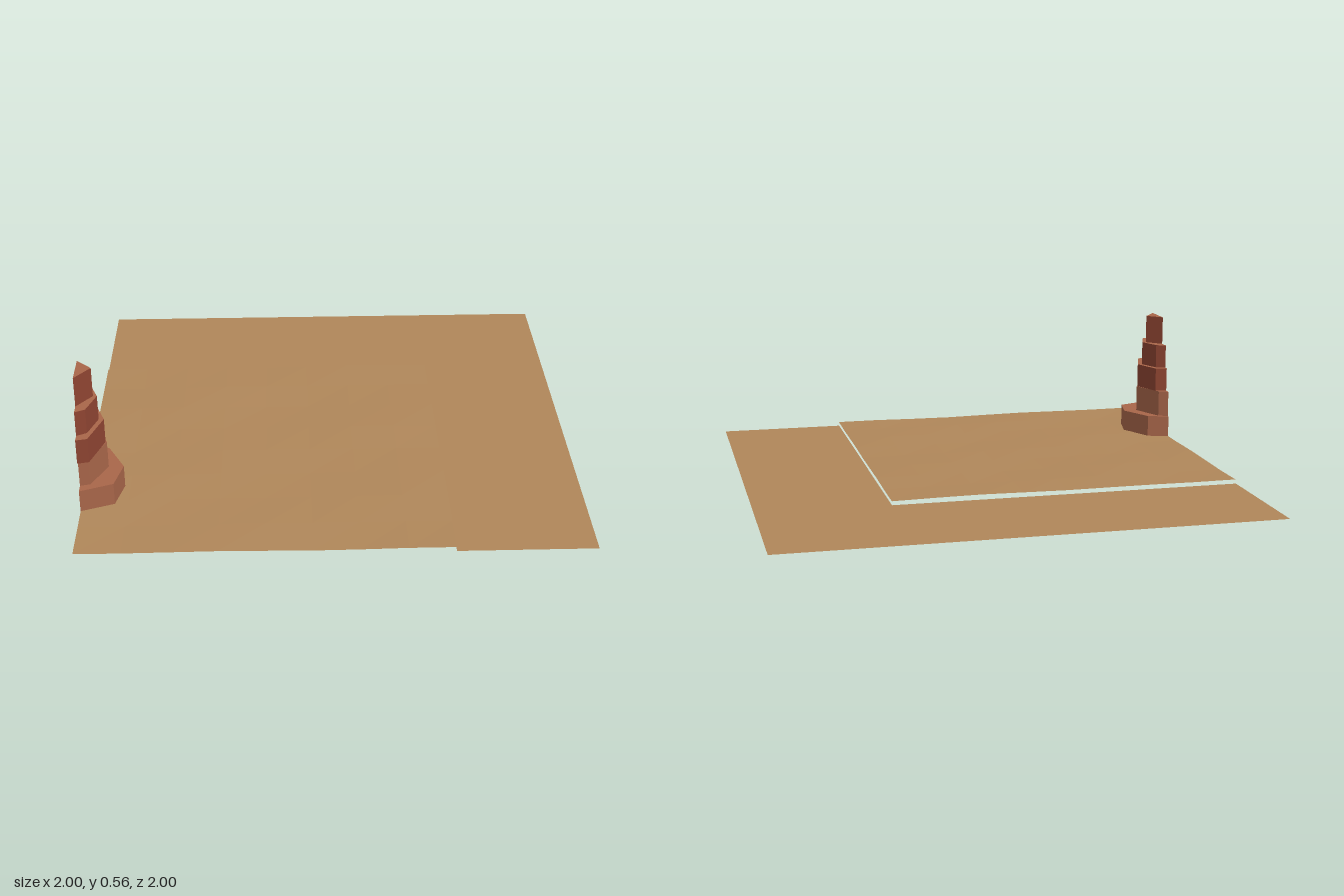
import * as THREE from 'three';

const material = (name, color) => {
  const m = new THREE.MeshStandardMaterial({ color, side: THREE.DoubleSide, flatShading: true });
  m.name = name;
  return m;
};

// Horizontal face from [x, z] points at height y
function flatFace(points, y) {
  const shape = new THREE.Shape(points.map(([x, z]) => new THREE.Vector2(x, -z)));
  return new THREE.ShapeGeometry(shape).rotateX(-Math.PI / 2).translate(0, y, 0);
}

// Upright walls along an open line of [x, z] points, facing outward
function wallStrip(points, y0, y1) {
  const pos = [];
  for (let i = 0; i < points.length - 1; i++) {
    const [ax, az] = points[i], [bx, bz] = points[i + 1];
    pos.push(ax, y0, az, bx, y1, bz, bx, y0, bz);
    pos.push(ax, y0, az, ax, y1, az, bx, y1, bz);
  }
  const g = new THREE.BufferGeometry();
  g.setAttribute('position', new THREE.Float32BufferAttribute(pos, 3));
  g.computeVertexNormals();
  return g;
}

export function createModel() {
  const model = new THREE.Group();
  model.name = 'desertTile';
  const sand = material('sand', 0xb0875a);
  const clay = material('clay rock', 0xa9664a);
  const redRock = material('red rock', 0x8f4532);
  const add = (parent, name, geometry, mat) => {
    const mesh = new THREE.Mesh(geometry, mat);
    mesh.name = name;
    parent.add(mesh);
  };

  // L-shaped flat ground around the raised sand sheet
  const edgeX = 0.455, edgeZ = -0.46;
  add(model, 'outerGround', flatFace(
    [[-1, edgeZ], [edgeX, edgeZ], [edgeX, 1], [1, 1], [1, -1], [-1, -1]], 0), sand);

  // Slightly rippled sheet of sand
  const size = 1.455;
  const dunes = new THREE.PlaneGeometry(size, size, 8, 8).rotateX(-Math.PI / 2);
  dunes.translate(-1 + size / 2, 0, 1 - size / 2);
  const p = dunes.attributes.position;
  for (let i = 0; i < p.count; i++) {
    const x = p.getX(i), z = p.getZ(i);
    p.setY(i, 0.017 + 0.003 * Math.sin(x * 7 + z * 5) * Math.cos(z * 6 - x * 2));
  }
  dunes.computeVertexNormals();
  add(model, 'sandSheet', dunes, sand);

  // Stepped rock spire, sliced open along the tile border
  const spire = new THREE.Group();
  spire.name = 'rockSpire';
  const tiers = [
    [0, 0.11, clay, [[-1, 0.36], [-0.91, 0.39], [-0.84, 0.53], [-0.87, 0.66], [-1, 0.71]]],
    [0.11, 0.225, clay, [[-1, 0.37], [-0.96, 0.39], [-0.9, 0.53], [-0.96, 0.66], [-1, 0.67]]],
    [0.225, 0.33, redRock, [[-1, 0.4], [-0.95, 0.41], [-0.905, 0.53], [-0.955, 0.68], [-1, 0.69]]],
    [0.33, 0.435, redRock, [[-1, 0.42], [-0.96, 0.44], [-0.925, 0.53], [-0.96, 0.635], [-1, 0.655]]],
    [0.435, 0.56, redRock, [[-1, 0.47], [-0.94, 0.53], [-1, 0.61]]],
  ];
  tiers.forEach(([y0, y1, mat, outline], i) => {
    add(spire, `tierWall${i + 1}`, wallStrip(outline, y0, y1), mat);
    add(spire, `tierTop${i + 1}`, flatFace(outline, y1), clay);
    if (i > 0) add(spire, `tierUnderside${i + 1}`, flatFace(outline, y0 + 0.001), mat);
  });
  model.add(spire);
  return model;
}
